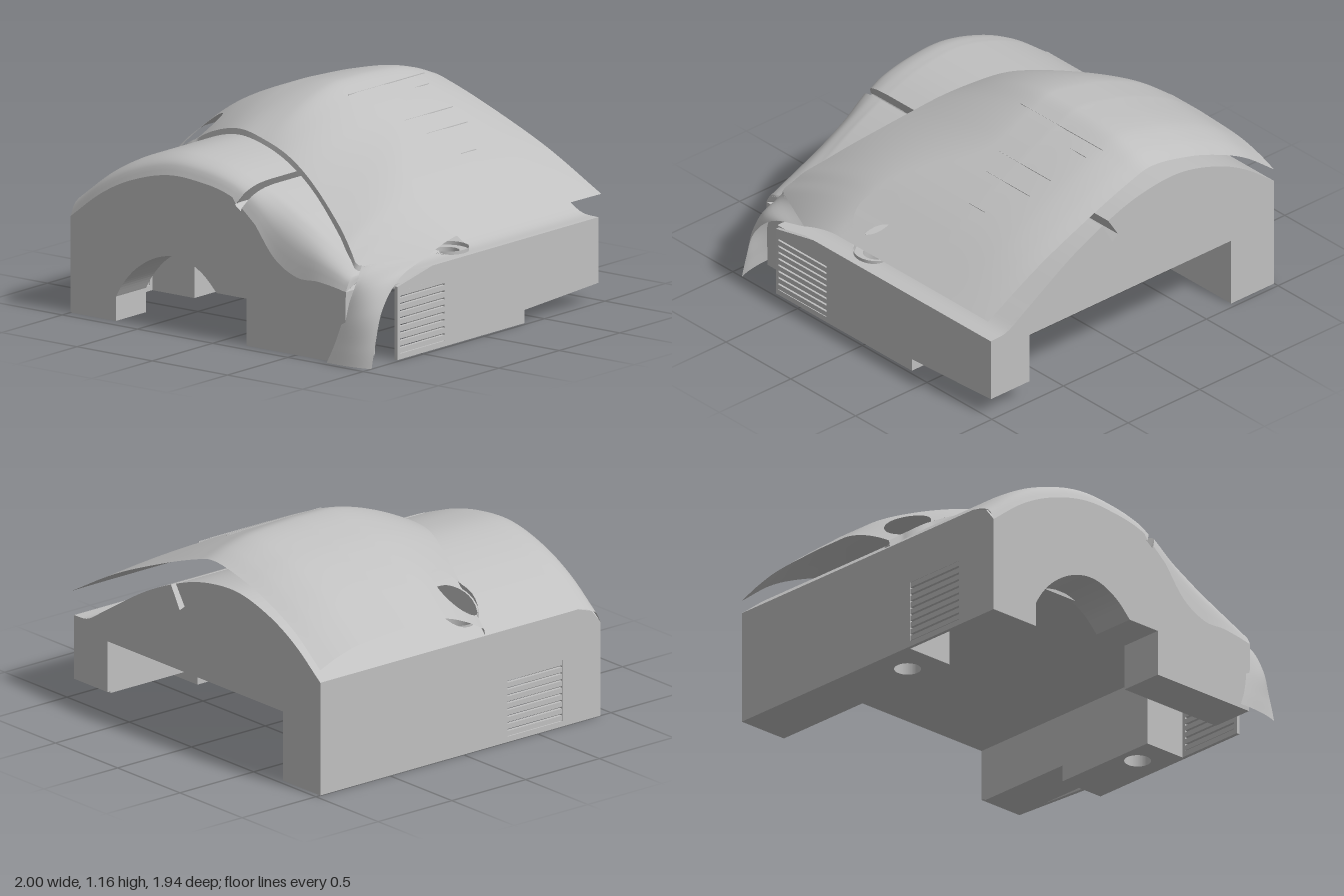
import * as THREE from 'three';
import { toCreasedNormals } from 'three/addons/utils/BufferGeometryUtils.js';

const BACK = -0.97, FRONT = 0.93;
const BORES = [[-0.82, 0.09], [0.82, 0.09]];

// Smooth curve y(x) through a few points
function curve(pts) {
  const slope = pts.map((p, i) => {
    const a = pts[Math.max(i - 1, 0)], b = pts[Math.min(i + 1, pts.length - 1)];
    return (b[1] - a[1]) / (b[0] - a[0]);
  });
  return (x) => {
    let i = 0;
    while (i < pts.length - 2 && x > pts[i + 1][0]) i++;
    const [x0, y0] = pts[i], [x1, y1] = pts[i + 1], h = x1 - x0;
    const t = Math.min(Math.max((x - x0) / h, 0), 1), t2 = t * t, t3 = t2 * t;
    return (2 * t3 - 3 * t2 + 1) * y0 + (t3 - 2 * t2 + t) * h * slope[i]
      + (3 * t2 - 2 * t3) * y1 + (t3 - t2) * h * slope[i + 1];
  };
}

// Profiles across the width
const baseTop = curve([[-1, 0.62], [-0.8, 0.77], [-0.6, 0.87], [-0.35, 0.935], [-0.12, 0.925], [0.1, 0.87], [0.4, 0.74], [0.75, 0.53], [0.87, 0.46], [0.98, 0.45]]);
const hoodCrown = curve([[-1, 0.79], [-0.8, 0.94], [-0.6, 1.04], [-0.4, 1.11], [-0.14, 1.157], [0, 1.115], [0.3, 0.98], [0.65, 0.8], [1, 0.58]]);
const hoodLip = curve([[-1, 0.66], [-0.8, 0.8], [-0.6, 0.9], [-0.35, 0.965], [-0.12, 0.95], [0.1, 0.9], [0.4, 0.77], [0.7, 0.6], [0.83, 0.5], [1, 0.52]]);
const lipDepth = curve([[-1, 0.14], [-0.75, 0.19], [-0.3, 0.35], [0.2, 0.51], [0.6, 0.7], [0.76, 0.79], [0.83, 0.8], [1, 0.45]]);
const rearDrop = curve([[BACK, 0.1], [-0.85, 0.055], [-0.7, 0.02], [-0.4, 0]]);
// Rounding of the base's front edge: share by depth, and amount by x
const roundShare = curve([[0.74, 0], [0.83, 0.11], [0.9, 0.45], [FRONT, 1]]);
const roundAmount = curve([[-1, 0.105], [-0.2, 0.105], [0.1, 0.105], [0.2, 0.15], [0.35, 0.27], [0.5, 0.27], [0.65, 0.18], [0.84, 0.09]]);

function hoodHeight(x, z) {
  const start = THREE.MathUtils.lerp(-0.2, 0.2, THREE.MathUtils.smoothstep(x, 0.2, 0.75));
  const end = Math.max(lipDepth(x), start + 0.1);
  const s = Math.min(Math.max((z - start) / (end - start), 0), 1);
  const y = THREE.MathUtils.lerp(hoodCrown(x), hoodLip(x), s ** 1.6);
  return y - rearDrop(z) * (x < -0.12 ? 1 : 1 - (x + 0.12) / 1.15);
}

// Grid surface; fn gives [x, y, z, insideBore]
function grid(n, m, fn, crease) {
  const pos = [], inside = [], index = [];
  for (let j = 0; j <= m; j++) for (let i = 0; i <= n; i++) {
    const p = fn(i, j);
    pos.push(p[0], p[1], p[2]);
    inside.push(p[3]);
  }
  const tri = (a, b, c) => { if (!(inside[a] && inside[b] && inside[c])) index.push(a, b, c); };
  for (let j = 0; j < m; j++) for (let i = 0; i < n; i++) {
    const a = j * (n + 1) + i, c = a + n + 1;
    tri(a, c, a + 1);
    tri(a + 1, c, c + 1);
  }
  const g = new THREE.BufferGeometry();
  g.setAttribute('position', new THREE.Float32BufferAttribute(pos, 3));
  g.setIndex(index);
  g.computeVertexNormals();
  return crease ? toCreasedNormals(g, crease) : g;
}

// Push a grid point out to the rim of a bore
function clearBore(x, z, r) {
  for (const [cx, cz] of BORES) {
    const d = Math.hypot(x - cx, z - cz);
    if (d < r) {
      const k = r / Math.max(d, 1e-4);
      return [Math.min(Math.max(cx + (x - cx) * k, -1), 1), cz + (z - cz) * k, true];
    }
  }
  return [x, z, false];
}

// Columns of the base top as [x, kind]; the slot has two rims and a floor
const columns = [];
for (let i = 0; i <= 43; i++) columns.push([-1 + i * 0.025, 'plain']);
columns.push([0.16, 'rim'], [0.09, 'floor'], [0.13, 'floor'], [0.2, 'rim']);
for (let i = 1; i <= 31; i++) columns.push([0.2 + i * 0.78 / 31, 'plain']);

// Point of the base top at a share of the front rounding; slot rims slide along the slant
function topPoint([x, kind], share) {
  if (kind === 'floor') return [x, x < 0.1 ? 0.74 : 0.71];
  const d = share * (kind === 'rim' ? 0.105 : roundAmount(x));
  return [kind === 'rim' ? x - d * 0.6 : x, baseTop(x) - d];
}
const topLine = (share) => columns.map((c) => topPoint(c, share));

const shapeOf = (pts) => new THREE.Shape(pts.map((p) => new THREE.Vector2(p[0], p[1])));
const extrude = (shape, depth) => new THREE.ExtrudeGeometry(shape, { depth, bevelEnabled: false, curveSegments: 32 });

export function createModel() {
  const group = new THREE.Group();
  const grey = new THREE.MeshStandardMaterial({ color: 0xc0c0c0, side: THREE.DoubleSide });
  grey.name = 'light grey';
  const add = (name, geometry) => {
    const mesh = new THREE.Mesh(geometry, grey);
    mesh.name = name;
    group.add(mesh);
    return mesh;
  };

  // Hood roof with two round openings
  add('hoodRoof', grid(110, 100, (i, j) => {
    const x0 = -1 + i / 55;
    const [x, z, hole] = clearBore(x0, BACK + (lipDepth(x0) - BACK) * j / 100, 0.122);
    return [x, hoodHeight(x, z), z, hole];
  }));

  // Lip turning down from the hood onto the base
  add('hoodLip', grid(92, 1, (i, j) => {
    const x0 = -1 + i * 0.02;
    const [x, z] = clearBore(x0, lipDepth(x0), 0.122);
    return [x, j ? baseTop(x) - 0.015 : hoodHeight(x, z), z + j * 0.012];
  }));

  // Hood corner sweeping down to the ground
  const rails = [
    [[0.83, 0.5, 0.8], [0.84, 0.4, 0.87], [0.81, 0.25, 0.92], [0.77, 0.1, 0.95], [0.73, 0, 0.965]],
    [[0.915, 0.51, 0.625], [0.94, 0.42, 0.82], [0.93, 0.27, 0.91], [0.9, 0.1, 0.945], [0.88, 0, 0.96]],
    [[1, 0.52, 0.45], [1, 0.44, 0.7], [1, 0.3, 0.84], [1, 0.12, 0.9], [1, 0, 0.93]],
  ].map((r) => new THREE.CatmullRomCurve3(r.map((p) => new THREE.Vector3(...p))));
  add('hoodCorner', grid(12, 24, (i, j) => {
    const [a, b, c] = rails.map((r) => r.getPoint(j / 24)), t = i / 12;
    const q = (k) => 2 * (t - 0.5) * (t - 1) * a[k] + 4 * t * (1 - t) * b[k] + 2 * t * (t - 0.5) * c[k];
    return [q('x'), q('y'), q('z')];
  }));

  // Fine score lines on the hood
  for (const [x, z0, z1] of [[0, -0.75, -0.12], [0.07, -0.7, -0.55], [0.27, -0.65, -0.25], [0.39, -0.62, -0.28], [0.57, -0.47, -0.35]]) {
    const line = add('scoreLine', new THREE.BoxGeometry(0.004, 0.004, z1 - z0));
    line.position.set(x, hoodHeight(x, (z0 + z1) / 2), (z0 + z1) / 2);
  }

  // Arched base top with rounded front edge
  add('baseTop', grid(columns.length - 1, 90, (i, j) => {
    const x0 = columns[i][0];
    const end = x0 < 0.85 ? FRONT : FRONT - 0.13 - (x0 - 0.85) * 2.6;
    const t = j < 70 ? j / 70 * 0.88 : 0.88 + (j - 70) * 0.006;
    const [x, z, hole] = clearBore(x0, BACK + (end - BACK) * t, 0.12);
    const [px, py] = topPoint([x, columns[i][1]], roundShare(z));
    return [Math.min(px, 0.98), py, z, hole];
  }, 0.7));

  // Front wall with wheel-like arch and step
  const arch = new THREE.SplineCurve([[-0.03, 0.25], [-0.12, 0.335], [-0.23, 0.39], [-0.34, 0.4], [-0.46, 0.365],
    [-0.57, 0.295], [-0.65, 0.21], [-0.7, 0.13]].map((p) => new THREE.Vector2(...p))).getPoints(40).map((p) => [p.x, p.y]);
  const front = shapeOf([...topLine(1).filter((p) => p[0] < 0.85), [0.82, 0], [0.17, 0], [0.17, 0.25], ...arch, [-0.7, 0], [-1, 0]]);
  add('frontWall', extrude(front, 0.25)).position.z = FRONT - 0.25;

  // Rear wall open below
  const rear = shapeOf([...topLine(0), [0.98, 0.1], [0.71, 0.1], [0.71, 0.38], [-0.7, 0.38], [-0.7, 0], [-1, 0]]);
  add('rearWall', extrude(rear, 0.02)).position.z = BACK;

  // Side skins with louvred vents
  const sides = [
    ['rightSkin', -1, [[0.97, 0], [0.97, 0.62], [-0.78, 0.62], [-0.87, 0.59], [-0.93, 0.515], [-0.93, 0]]],
    ['leftSkin', 0.96, [[0.97, 0.1], [0.97, 0.45], [-0.4, 0.45], [-0.69, 0.39], [-0.69, 0], [0.36, 0], [0.36, 0.07]]],
  ];
  for (const [name, x, pts] of sides) {
    const skin = shapeOf(pts);
    skin.holes.push(new THREE.Path([[-0.3, 0.03], [-0.67, 0.03], [-0.67, 0.365], [-0.3, 0.365]].map((p) => new THREE.Vector2(...p))));
    const g = extrude(skin, 0.02);
    g.rotateY(Math.PI / 2);
    add(name, g).position.x = x;
    for (let k = 0; k < 9; k++) {
      const slat = add('ventSlat', new THREE.BoxGeometry(0.018, 0.027, 0.38));
      slat.position.set(x + 0.01, 0.047 + k * 0.038, 0.485);
    }
  }

  // Horizontal slabs, bored where the bolts pass
  const slab = (name, x0, x1, z0, z1, y0, y1) => {
    const s = shapeOf([[x0, -z0], [x0, -z1], [x1, -z1], [x1, -z0]]);
    for (const [cx, cz] of BORES) {
      if (cx > x0 && cx < x1 && cz > z0 && cz < z1) {
        s.holes.push(new THREE.Path().absarc(cx, -cz, 0.07, 0, Math.PI * 2, true));
      }
    }
    const g = extrude(s, y1 - y0);
    g.rotateX(-Math.PI / 2);
    add(name, g).position.y = y0;
  };
  slab('cavityCeiling', -0.98, 0.96, BACK + 0.02, 0.7, 0.38, 0.4);
  slab('rightRail', -0.98, -0.7, BACK + 0.02, 0.28, 0, 0.38);
  slab('leftRail', 0.71, 0.96, -0.36, 0.28, 0, 0.38);
  slab('leftRailRear', 0.71, 0.96, BACK + 0.02, -0.36, 0.09, 0.38);

  // Counterbored bolt seats
  BORES.forEach(([x, z], i) => {
    const seat = i ? 0.45 : 0.58, top = i ? 0.47 : 0.68;
    const pts = [[0.07, 0.38], [0.07, seat], [0.12, seat], [0.12, top]].map((p) => new THREE.Vector2(...p));
    add('boltSeat', toCreasedNormals(new THREE.LatheGeometry(pts, 32), 0.5)).position.set(x, 0, z);
  });

  return group;
}
